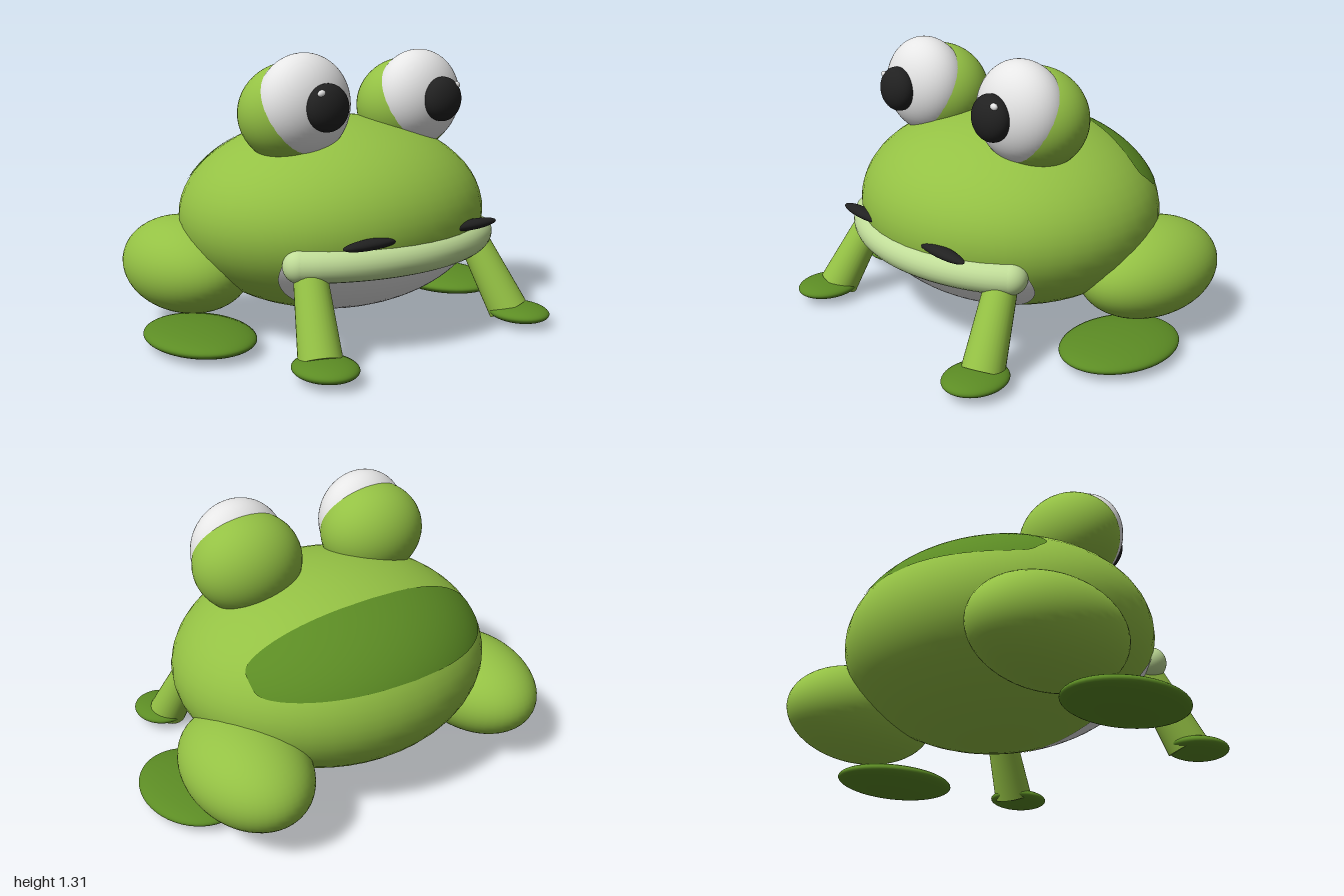
import * as THREE from 'three';

const mat = (name, color) => Object.assign(new THREE.MeshStandardMaterial({ color }), { name });

export function createModel() {
  const green = mat('light green', 0x94c144);
  const dark = mat('dark green', 0x5c8c24);
  const pale = mat('pale green', 0xc0dc98);
  const white = mat('white', 0xe6e6e6);
  const black = mat('black', 0x212121);

  const model = new THREE.Group();
  model.name = 'frog';

  const add = (name, geometry, material, parent = model) => {
    const mesh = new THREE.Mesh(geometry, material);
    mesh.name = name;
    parent.add(mesh);
    return mesh;
  };

  // Ellipsoid from its centre and its three radii
  const ellipsoid = (name, material, center, radii, parent = model) => {
    const mesh = add(name, new THREE.SphereGeometry(1, 48, 32), material, parent);
    mesh.position.set(...center);
    mesh.scale.set(...radii);
    return mesh;
  };

  // Tapered limb between two points
  const limb = (name, material, top, bottom, rTop, rBottom, parent) => {
    const a = new THREE.Vector3(...top), b = new THREE.Vector3(...bottom);
    const mesh = add(name, new THREE.CylinderGeometry(rTop, rBottom, a.distanceTo(b), 32), material, parent);
    mesh.position.copy(a).add(b).multiplyScalar(0.5);
    mesh.quaternion.setFromUnitVectors(new THREE.Vector3(0, 1, 0), a.sub(b).normalize());
  };

  // Body
  const bodyCenter = new THREE.Vector3(0, 0.54, -0.075);
  const bodyRadii = new THREE.Vector3(0.765, 0.46, 0.69);
  ellipsoid('body', green, bodyCenter.toArray(), bodyRadii.toArray());

  // Thin rounded patch laid on the body; angles are elevations in degrees
  const patch = (name, material, halfX, low, mid, high, power, facing) => {
    const geometry = new THREE.RingGeometry(0.001, 1, 96, 16);
    const pos = geometry.attributes.position, normal = geometry.attributes.normal;
    const bend = (c) => Math.sign(c) * Math.abs(c) ** power;
    const n = new THREE.Vector3(), p = new THREE.Vector3();
    for (let i = 0; i < pos.count; i++) {
      const x = pos.getX(i), y = pos.getY(i), r = Math.hypot(x, y);
      const u = r * bend(x / r), v = r * bend(y / r);
      const e = THREE.MathUtils.degToRad(mid + v * (v > 0 ? high - mid : mid - low));
      const nx = halfX * u, ring = Math.sqrt(1 - nx * nx);
      n.set(facing * nx, ring * Math.sin(e), facing * ring * Math.cos(e));
      p.copy(n).multiply(bodyRadii).multiplyScalar(1.005).add(bodyCenter);
      pos.setXYZ(i, p.x, p.y, p.z);
      n.divide(bodyRadii).normalize();
      normal.setXYZ(i, n.x, n.y, n.z);
    }
    add(name, geometry, material);
  };
  patch('belly', white, 0.78, -66, -20, -12, 2 / 3, 1);
  patch('backSpot', dark, 0.8, 20, 41, 62.5, 0.5, -1);

  // Lip: a tube bent round the front of the body, with rounded ends
  const lipPoints = [];
  for (let i = -6; i <= 6; i++) {
    const x = 0.545 * Math.sin((i / 6) * Math.PI / 2);
    const z = -0.075 + 0.655 * Math.sqrt(0.98 - (x / 0.765) ** 2);
    lipPoints.push(new THREE.Vector3(x, 0.428, z));
  }
  const lip = new THREE.Group();
  lip.name = 'mouth';
  model.add(lip);
  add('lip', new THREE.TubeGeometry(new THREE.CatmullRomCurve3(lipPoints), 64, 0.074, 24), pale, lip);
  for (const end of [lipPoints[0], lipPoints[12]]) {
    ellipsoid('lipEnd', pale, end.toArray(), [0.074, 0.074, 0.074], lip);
  }

  // Paired parts
  for (const [side, s] of [['left', 1], ['right', -1]]) {
    const eye = new THREE.Group();
    eye.name = side + 'Eye';
    model.add(eye);
    ellipsoid('eyelid', green, [s * 0.347, 1.04, 0.07], [0.258, 0.23, 0.225], eye);
    ellipsoid('eyeball', white, [s * 0.347, 1.08, 0.152], [0.228, 0.23, 0.172], eye);
    ellipsoid('pupil', black, [s * 0.347, 1.08, 0.32], [0.105, 0.105, 0.07], eye);
    ellipsoid('glint', white, [s * 0.405, 1.145, 0.353], [0.02, 0.016, 0.014], eye);

    ellipsoid(side + 'Nostril', black, [s * 0.305, 0.522, 0.565], [0.158, 0.024, 0.036]);

    const front = new THREE.Group();
    front.name = side + 'FrontLeg';
    model.add(front);
    limb('arm', green, [s * 0.5, 0.405, 0.385], [s * 0.58, 0.065, 0.56], 0.072, 0.095, front);
    ellipsoid('frontFoot', dark, [s * 0.597, 0.059, 0.613], [0.132, 0.043, 0.155], front);

    const hind = new THREE.Group();
    hind.name = side + 'HindLeg';
    model.add(hind);
    ellipsoid('thigh', green, [s * 0.65, 0.308, -0.383], [0.27, 0.228, 0.383], hind);
    ellipsoid('hindFoot', dark, [s * 0.77, 0.057, -0.075], [0.23, 0.057, 0.306], hind);
  }

  return model;
}
